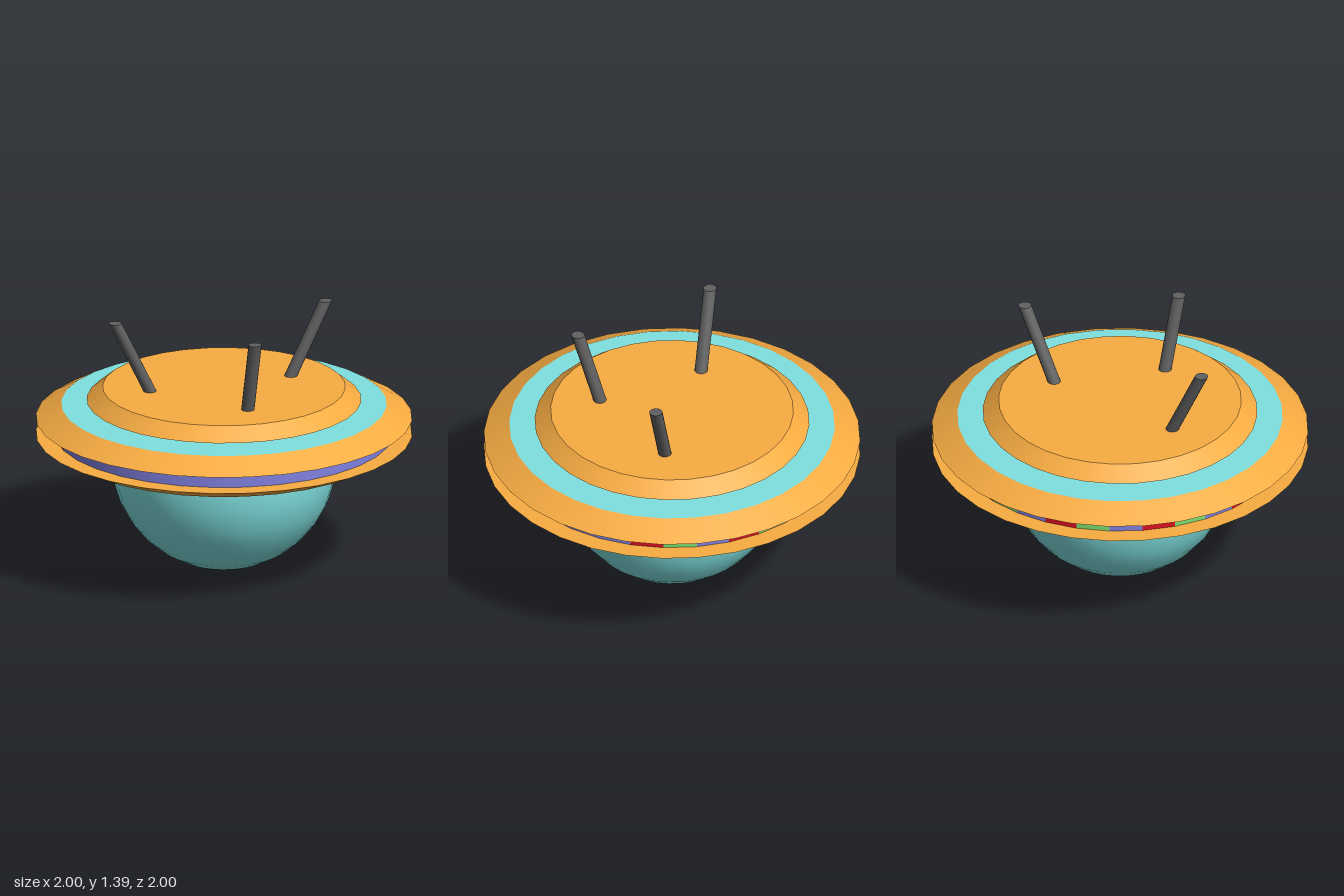
import * as THREE from 'three';

const SIDES = 32;
const paint = (color) => new THREE.MeshStandardMaterial({ color });

export function createModel() {
  const model = new THREE.Group();
  const orange = paint(0xf8ac42);
  const teal = paint(0x80e0e0);
  const blue = paint(0x2020c8);
  const violet = paint(0x8080e0);
  const red = paint(0xe01020);
  const green = paint(0x80e070);
  const grey = paint(0x606060);

  const add = (name, geometry, material) => {
    const mesh = new THREE.Mesh(geometry, material);
    mesh.name = name;
    model.add(mesh);
    return mesh;
  };

  // Tapered disc between two heights
  const disc = (name, material, yBottom, yTop, rBottom, rTop) => {
    const geometry = new THREE.CylinderGeometry(rTop, rBottom, yTop - yBottom, SIDES);
    return add(name, geometry.translate(0, (yTop + yBottom) / 2, 0), material);
  };

  // Rounded bowl under the hull
  const bowl = new THREE.SphereGeometry(0.6, SIDES, 8, 0, Math.PI * 2, Math.PI / 2, Math.PI / 2);
  add('bowl', bowl.translate(0, 0.605, 0), teal);

  // Stacked hull, from bottom to top
  disc('lowerCollar', orange, 0.605, 0.65, 0.6, 0.67);
  disc('lowerNeck', blue, 0.65, 0.675, 0.62, 0.62);
  disc('lowerRim', orange, 0.675, 0.74, 0.865, 1);
  disc('upperRim', [orange, teal, orange], 0.83, 0.905, 1, 0.865);
  disc('upperNeck', blue, 0.905, 0.93, 0.625, 0.625);
  disc('topCap', orange, 0.93, 1, 0.73, 0.645);

  // Band between the rims: plain at the front, coloured panels at the back
  const bandArc = (name, material, segments, start, length) => {
    const geometry = new THREE.CylinderGeometry(0.9, 0.9, 0.09, segments, 1, true, start, length);
    add(name, geometry.translate(0, 0.785, 0), material);
  };
  const step = (Math.PI * 2) / SIDES;
  bandArc('frontBand', violet, SIDES / 2, -Math.PI / 2, Math.PI);
  const panelColors = [red, green, violet];
  for (let i = 0; i < SIDES / 2; i++) {
    bandArc(`backPanel${i + 1}`, panelColors[i % 3], 1, Math.PI / 2 + i * step, step);
  }

  // Leaning rods with level ends, made by shearing upright cylinders
  const rod = (name, x, z, leanX, leanZ) => {
    const geometry = new THREE.CylinderGeometry(0.035, 0.035, 0.4, 16);
    const shear = new THREE.Matrix4().set(
      1, leanX / 0.4, 0, 0,
      0, 1, 0, 0,
      0, leanZ / 0.4, 1, 0,
      0, 0, 0, 1
    );
    geometry.translate(0, 0.2, 0).applyMatrix4(shear);
    add(name, geometry, grey).position.set(x, 1, z);
  };
  rod('leftRod', 0.395, -0.06, 0.195, 0);
  rod('rightRod', -0.395, -0.06, -0.195, 0);
  rod('frontRod', 0, 0.395, 0, 0.12);

  return model;
}
